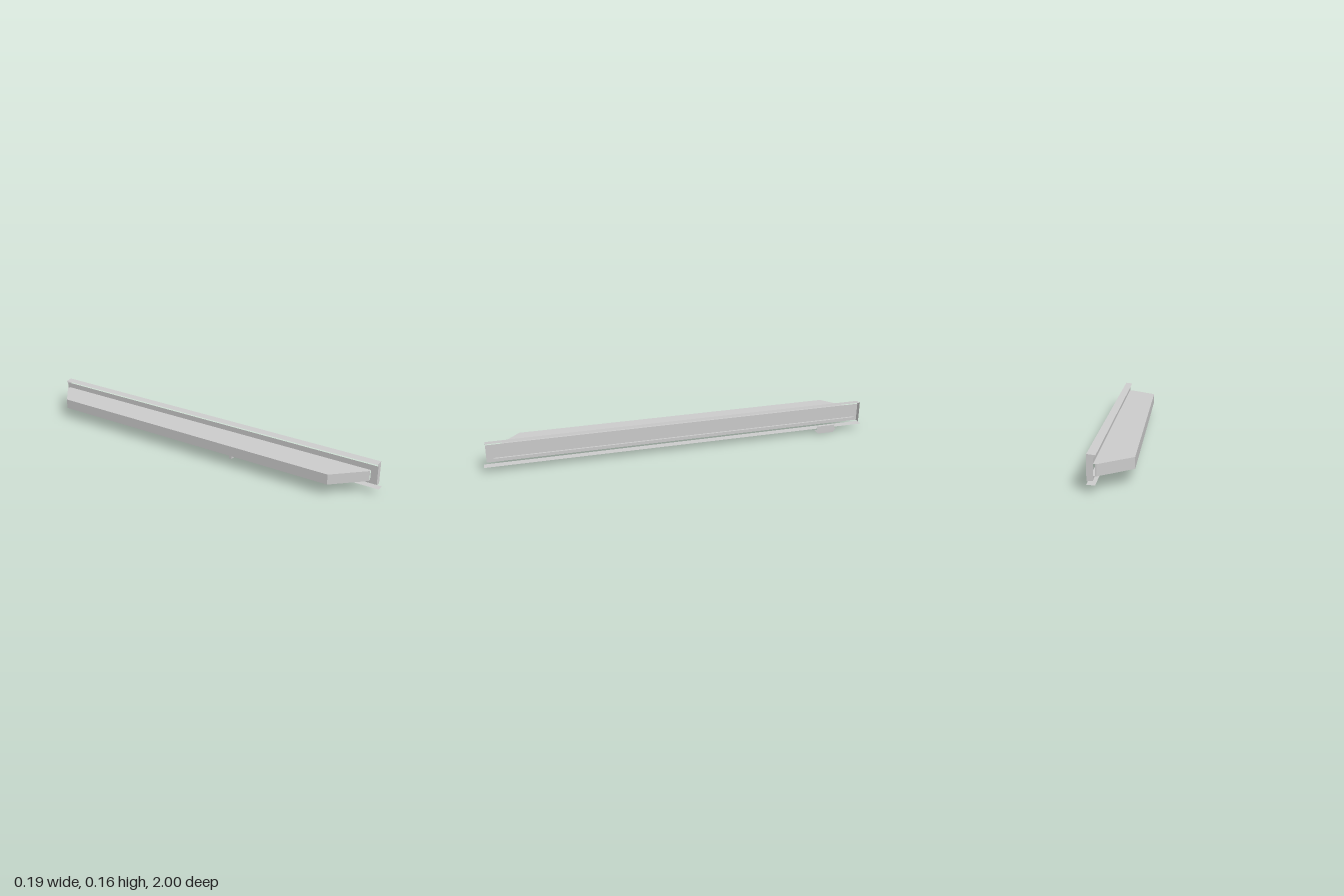
import * as THREE from 'three';

const material = new THREE.MeshStandardMaterial({ color: 0xcccccc, flatShading: true, side: THREE.DoubleSide });

function add(group, name, geometry, x = 0, y = 0, z = 0) {
  const mesh = new THREE.Mesh(geometry, material);
  mesh.name = name;
  mesh.position.set(x, y, z);
  group.add(mesh);
  return mesh;
}

const outline = (points) => new THREE.Shape(points.map(([a, b]) => new THREE.Vector2(a, b)));

// Outline drawn in (x, -z), raised from y0 to y1
function slab(points, y0, y1) {
  const g = new THREE.ExtrudeGeometry(outline(points.map(([x, z]) => [x, -z])), { depth: y1 - y0, bevelEnabled: false });
  return g.rotateX(-Math.PI / 2).translate(0, y0, 0);
}

// Outline drawn in (-z, y), turned to face +x
const sidePlate = (shape) => new THREE.ShapeGeometry(shape).rotateY(Math.PI / 2);

export function createModel() {
  const model = new THREE.Group();
  const END = 0.985;

  // Long shelf body with slanted ends
  add(model, 'shelfBody', slab([
    [-0.097, -0.84], [-0.097, 0.81], [0.05, 0.95], [0.055, 0.95], [0.055, -0.975], [0.05, -0.975],
  ], 0.06, 0.111));

  // Upright panel with a long slot, lined back to the body
  const panel = outline([[-END, 0.044], [END, 0.044], [END, 0.138], [-END, 0.138]]);
  panel.holes.push(new THREE.Path([
    [-0.95, 0.061], [-0.95, 0.11], [0.97, 0.11], [0.97, 0.061],
  ].map(([a, b]) => new THREE.Vector2(a, b))));
  add(model, 'facePanel', sidePlate(panel), 0.064);
  for (const y of [0.0605, 0.1105]) {
    add(model, 'slotLining', new THREE.BoxGeometry(0.01, 0.001, 1.92), 0.059, y, -0.01);
  }

  // End plates of the frame
  const endShape = outline([
    [0.063, 0.043], [0.09, 0.043], [0.09, 0.155], [0.052, 0.15], [0.063, 0.135],
  ]);
  for (const z of [-END, END]) add(model, 'endPlate', new THREE.ShapeGeometry(endShape), 0, 0, z);

  // Tilted strip along the top
  const top = add(model, 'topLip', new THREE.PlaneGeometry(0.038, 2 * END).rotateX(-Math.PI / 2), 0.071, 0.1525, 0);
  top.rotation.z = Math.atan2(0.005, 0.038);

  // Loose strip below the frame
  add(model, 'lowerStrip', new THREE.PlaneGeometry(0.038, 2).rotateX(-Math.PI / 2), 0.071, 0.03, 0);

  // Small bar under the body
  add(model, 'underBar', new THREE.BoxGeometry(0.098, 0.015, 0.015), -0.038, 0.0475, 0.27);

  // Hanging tab near the back
  add(model, 'hangingTab', sidePlate(outline([
    [0.755, 0], [0.84, 0], [0.846, 0.01], [0.858, 0.022], [0.845, 0.024],
    [0.845, 0.042], [0.745, 0.042], [0.745, 0.024], [0.73, 0.022], [0.745, 0.008],
  ])), 0.091);

  return model;
}
